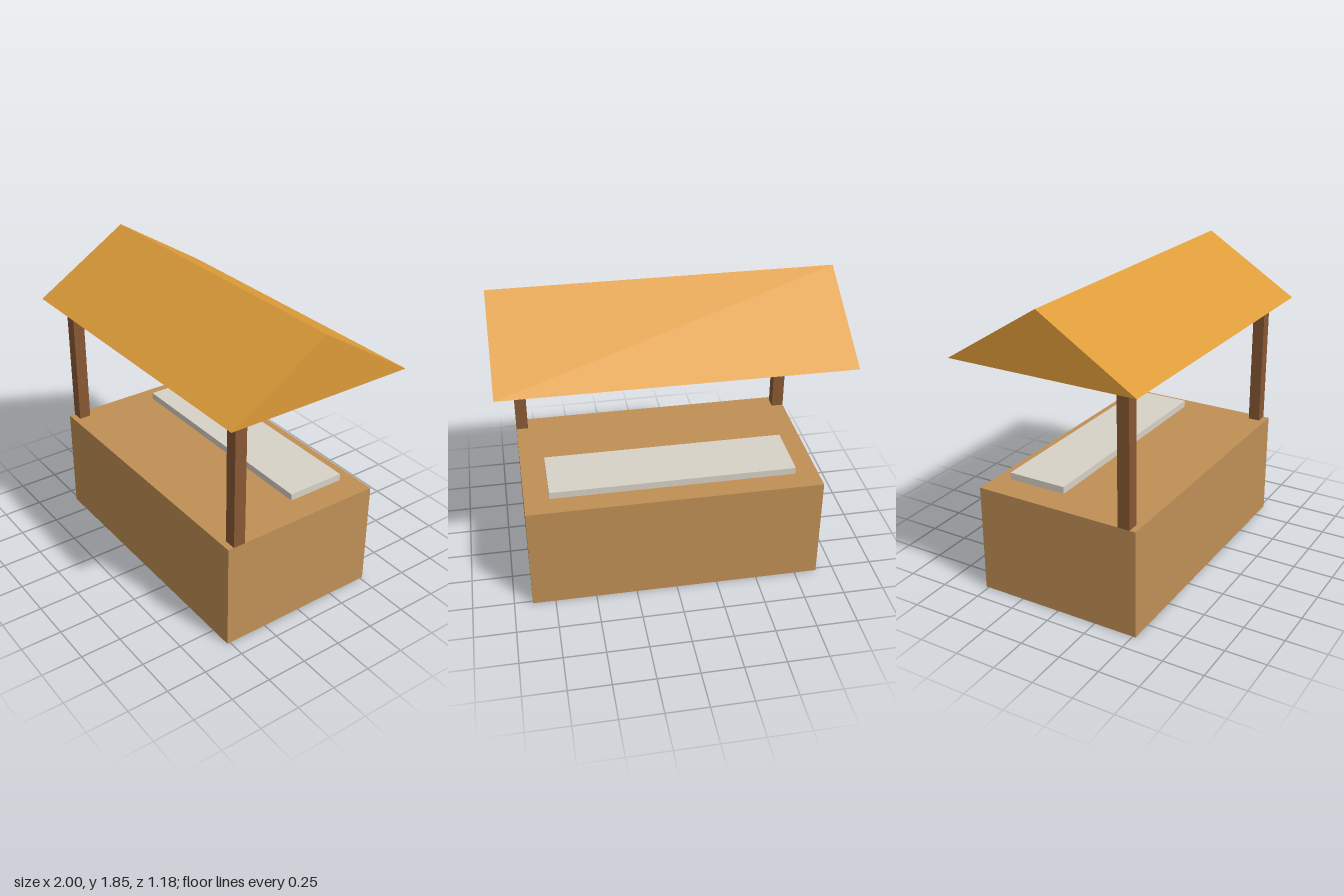
import * as THREE from 'three';

const material = (name, color) => {
  const m = new THREE.MeshStandardMaterial({ color });
  m.name = name;
  return m;
};

export function createModel() {
  const group = new THREE.Group();
  group.name = 'marketStall';

  const counterWood = material('counter wood', 0xc08f55);
  const postWood = material('post wood', 0x885934);
  const roofOrange = material('roof orange', 0xde9c39);
  const trayGrey = material('tray grey', 0xd8d2c6);

  const add = (name, geometry, mat, x, y, z) => {
    const mesh = new THREE.Mesh(geometry, mat);
    mesh.name = name;
    mesh.position.set(x, y, z);
    group.add(mesh);
  };

  const counterTop = 0.667, eaves = 1.485, ridge = 1.852;

  // Solid counter block
  add('counter', new THREE.BoxGeometry(1.778, counterTop, 1.037), counterWood, 0, counterTop / 2, 0);

  // Display tray, slightly above the rear of the counter
  add('displayTray', new THREE.BoxGeometry(1.482, 0.043, 0.37), trayGrey, 0, 0.707, -0.222);

  // Two front posts
  const postHeight = eaves - counterTop;
  for (const [name, side] of [['leftPost', 1], ['rightPost', -1]]) {
    add(name, new THREE.BoxGeometry(0.074, postHeight, 0.074), postWood,
      side * 0.852, counterTop + postHeight / 2, 0.444);
  }

  // Solid gabled roof: triangle swept along x
  const gable = new THREE.Shape([
    new THREE.Vector2(-0.59, 0),
    new THREE.Vector2(0.59, 0),
    new THREE.Vector2(0, ridge - eaves),
  ]);
  const roof = new THREE.ExtrudeGeometry(gable, { depth: 2, bevelEnabled: false });
  roof.translate(0, 0, -1).rotateY(Math.PI / 2);
  add('roof', roof, roofOrange, 0, eaves, 0);

  return group;
}
